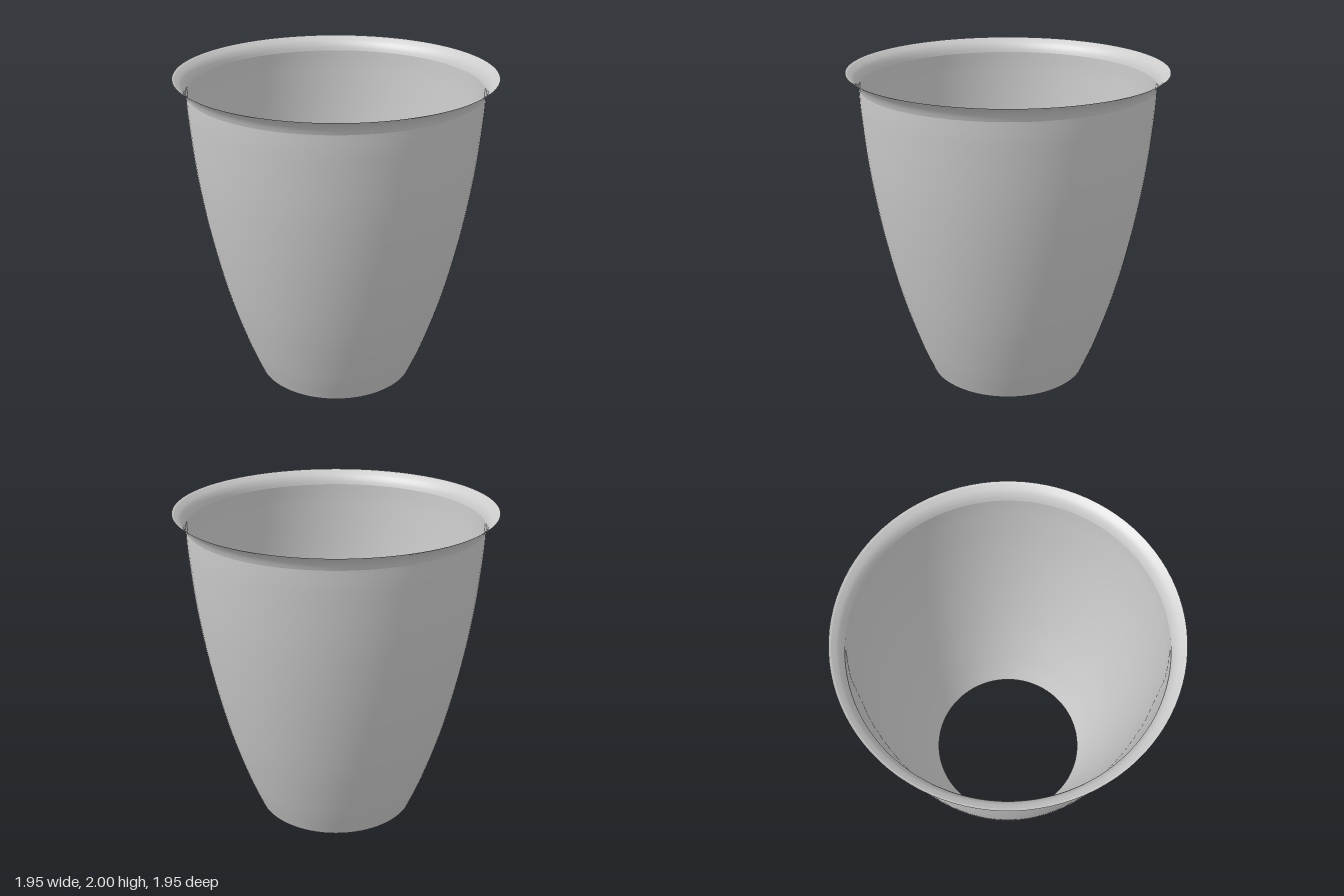
import * as THREE from 'three';

const SEGMENTS = 96;

// Thin revolved sheet following a smooth curve through [radius, height] points
function revolve(name, points, steps, material) {
  const curve = new THREE.SplineCurve(points.map(([r, y]) => new THREE.Vector2(r, y)));
  const mesh = new THREE.Mesh(new THREE.LatheGeometry(curve.getPoints(steps), SEGMENTS), material);
  mesh.name = name;
  return mesh;
}

export function createModel() {
  const material = new THREE.MeshStandardMaterial({ color: 0xcccccc, side: THREE.DoubleSide });
  const group = new THREE.Group();
  group.name = 'openCup';

  // Tapered wall, open at the bottom
  group.add(revolve('wall', [
    [0.515, 0], [0.6, 0.22], [0.71, 0.58], [0.803, 1.0],
    [0.865, 1.4], [0.896, 1.75], [0.902, 1.91],
  ], 40, material));

  // Flared collar, meeting the wall at a crease
  group.add(revolve('flare', [
    [0.902, 1.91], [0.913, 1.94], [0.932, 1.968], [0.962, 1.993],
  ], 12, material));

  // Narrow edge of the rim
  group.add(revolve('rimEdge', [[0.962, 1.993], [0.976, 2.0]], 1, material));

  return group;
}
